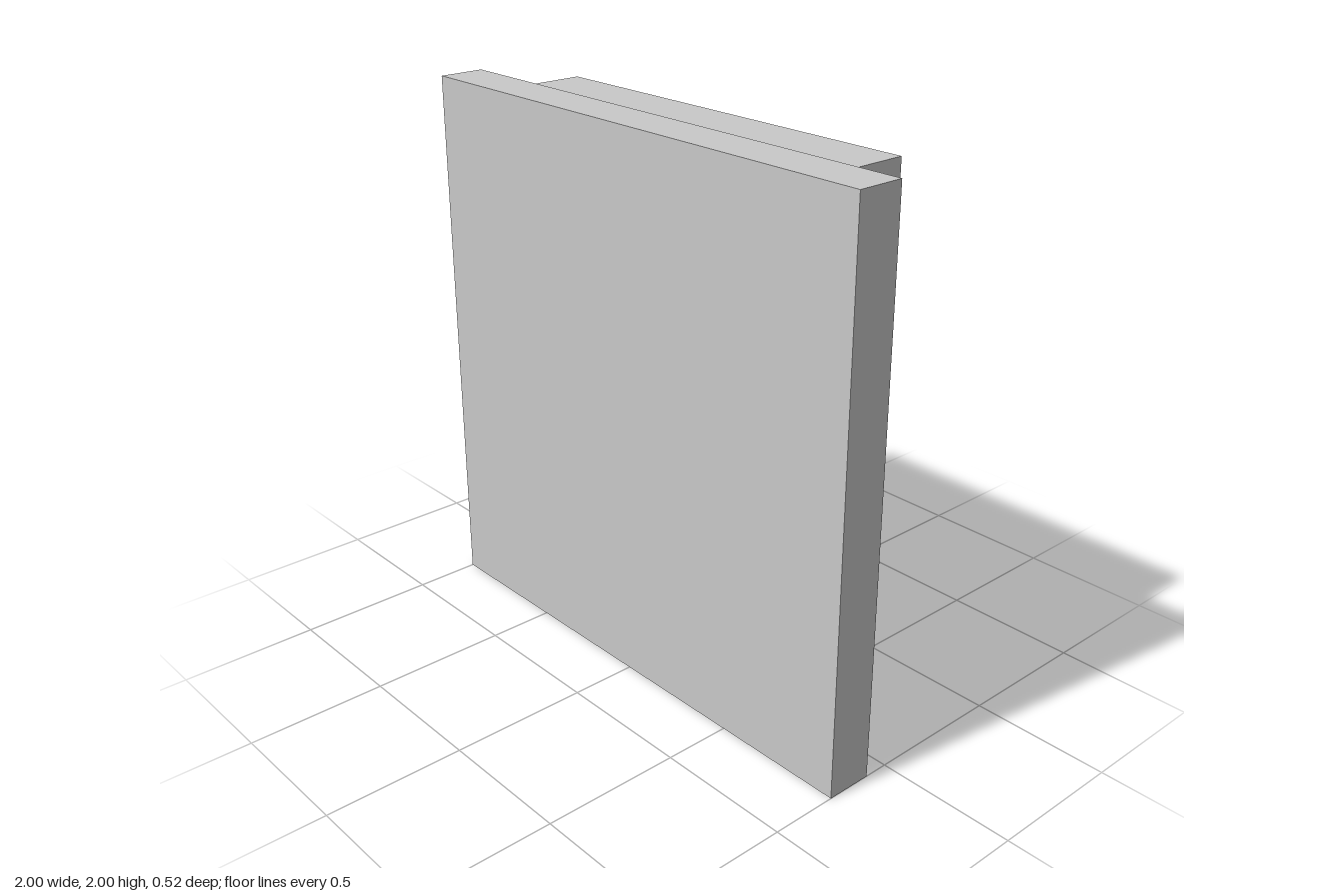
import * as THREE from 'three';

export function createModel() {
  const group = new THREE.Group();
  const grey = new THREE.MeshStandardMaterial({ color: 0xc8c8c8 });
  grey.name = 'lightGrey';

  // Box given by its limits on each axis
  function slab(name, [x0, x1], [y0, y1], [z0, z1]) {
    const mesh = new THREE.Mesh(new THREE.BoxGeometry(x1 - x0, y1 - y0, z1 - z0), grey);
    mesh.position.set((x0 + x1) / 2, (y0 + y1) / 2, (z0 + z1) / 2);
    mesh.name = name;
    group.add(mesh);
  }

  // Stacked plates, from the front slab to the back panel
  slab('frontSlab', [-1, 1], [0, 2], [0.088, 0.258]);
  slab('spacerPlate', [-0.912, 0.912], [0.085, 1.915], [0.05, 0.088]);
  slab('rearBody', [-0.773, 0.773], [0.028, 1.973], [-0.177, 0.05]);
  slab('outerBackPanel', [-0.708, 0.708], [0.093, 1.91], [-0.202, -0.177]);
  slab('innerBackPanel', [-0.672, 0.672], [0.13, 1.876], [-0.222, -0.202]);

  // Raised vertical strip on the back
  slab('verticalStrip', [-0.118, 0.143], [0.273, 1.73], [-0.236, -0.222]);

  // Stepped clasp, extruded from one outline that narrows toward +x
  const xs = [-0.072, 0.015, 0.102, 0.186];
  const midY = 1.666;
  const halfHeights = [0.134, 0.085, 0.036];
  const upper = [];
  halfHeights.forEach((h, i) => upper.push([xs[i], h], [xs[i + 1], h]));
  const outline = [
    ...upper.map(([x, h]) => new THREE.Vector2(x, midY + h)),
    ...upper.reverse().map(([x, h]) => new THREE.Vector2(x, midY - h)),
  ];
  const clasp = new THREE.Mesh(
    new THREE.ExtrudeGeometry(new THREE.Shape(outline), { depth: 0.036, bevelEnabled: false }),
    grey
  );
  clasp.position.z = -0.258;
  clasp.name = 'steppedClasp';
  group.add(clasp);

  return group;
}
